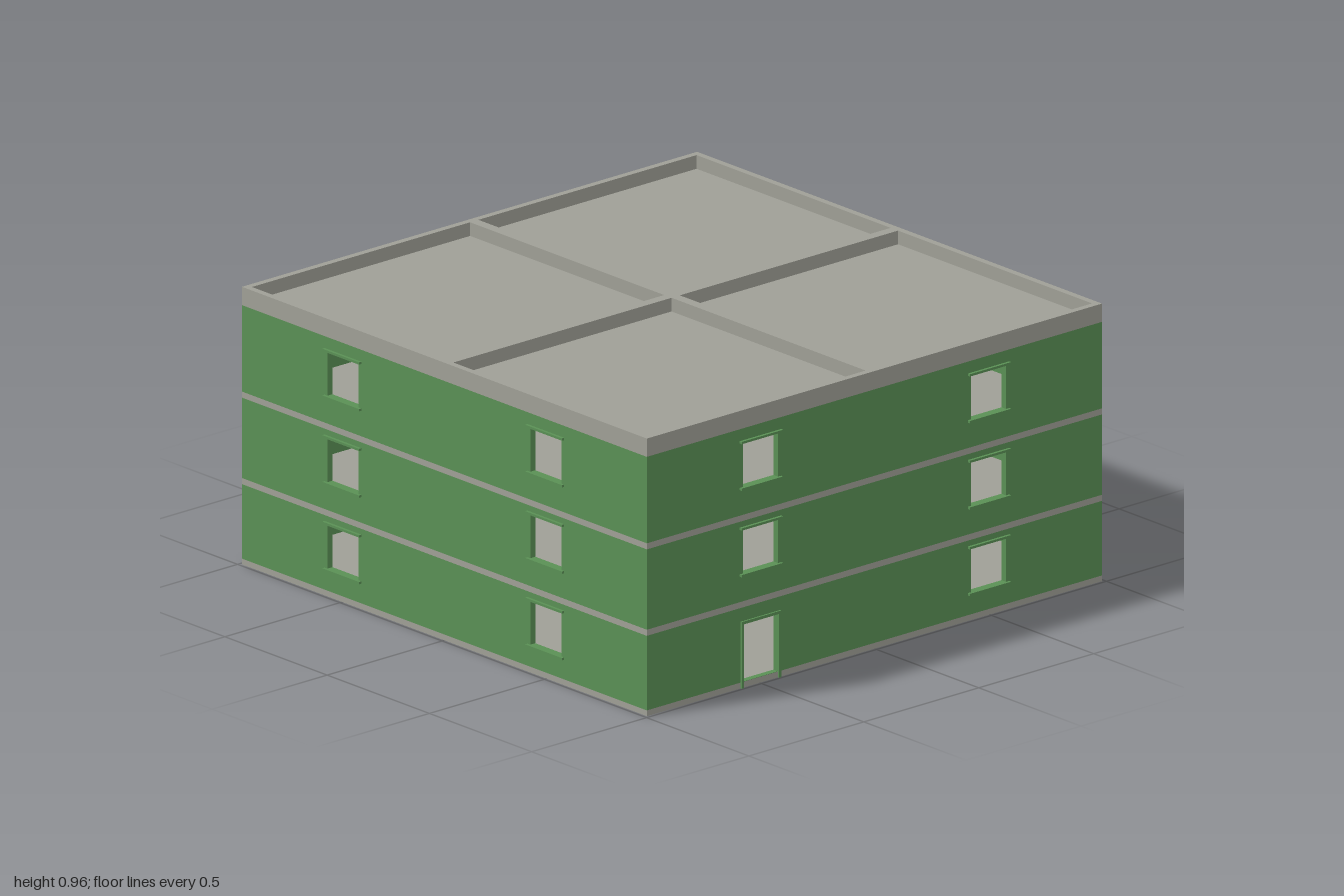
import * as THREE from 'three';

const green = new THREE.MeshStandardMaterial({ color: 0x5a9055 });
const darkGreen = new THREE.MeshStandardMaterial({ color: 0x467346 });
const stone = new THREE.MeshStandardMaterial({ color: 0x9f9f96 });

const HALF = 0.99;       // half width of the square plan
const T = 0.022;         // wall thickness
const STOREY = 0.298;    // floor to floor height
const SLAB = 0.021;
const WIN = { x: 0.496, w: 0.152, y: 0.096, h: 0.153 };
const DOOR_TOP = 0.22;

function rect(Type, x0, y0, x1, y1) {
  const p = new Type();
  p.moveTo(x0, y0).lineTo(x1, y0).lineTo(x1, y1).lineTo(x0, y1).closePath();
  return p;
}

function box(parent, name, mat, x0, x1, y0, y1, z0, z1) {
  const m = new THREE.Mesh(new THREE.BoxGeometry(x1 - x0, y1 - y0, z1 - z0), mat);
  m.position.set((x0 + x1) / 2, (y0 + y1) / 2, (z0 + z1) / 2);
  m.name = name;
  parent.add(m);
}

// Horizontal plate with square holes given as [x0, z0, x1, z1]
function plate(parent, name, y0, y1, holes = []) {
  const s = rect(THREE.Shape, -HALF, -HALF, HALF, HALF);
  holes.forEach(([x0, z0, x1, z1]) => s.holes.push(rect(THREE.Path, x0, -z1, x1, -z0)));
  const g = new THREE.ExtrudeGeometry(s, { depth: y1 - y0, bevelEnabled: false });
  g.rotateX(-Math.PI / 2).translate(0, y0, 0);
  const m = new THREE.Mesh(g, stone);
  m.name = name;
  parent.add(m);
}

// One storey of one facade, facing +z, with its openings and trim
function facade(name, y0, y1, base, halfWidth, hasDoor) {
  const side = new THREE.Group();
  side.name = name;
  const s = rect(THREE.Shape, -halfWidth, y0, halfWidth, y1);
  for (const sx of [-1, 1]) {
    const cx = sx * WIN.x, x0 = cx - WIN.w / 2, x1 = cx + WIN.w / 2;
    if (hasDoor && sx < 0) {
      // Doorway cut down to the floor slab
      s.holes.push(rect(THREE.Path, x0, y0 + 0.001, x1, DOOR_TOP));
      box(side, 'doorLintel', green, x0 - 0.01, x1 + 0.01, DOOR_TOP, DOOR_TOP + 0.01, HALF - 0.002, 0.996);
      for (const [a, b] of [[x0 - 0.01, x0], [x1, x1 + 0.01]])
        box(side, 'doorJamb', green, a, b, 0, DOOR_TOP, HALF - 0.002, 0.996);
      continue;
    }
    const b = base + WIN.y, t = b + WIN.h;
    s.holes.push(rect(THREE.Path, x0, b, x1, t));
    box(side, 'windowSill', green, x0 - 0.014, x1 + 0.014, b - 0.008, b, HALF - T, 1);
    box(side, 'windowLintel', green, x0 - 0.014, x1 + 0.014, t, t + 0.008, HALF - T, 1);
  }
  const g = new THREE.ExtrudeGeometry(s, { depth: T, bevelEnabled: false });
  g.translate(0, 0, HALF - T);
  const wall = new THREE.Mesh(g, green);
  wall.name = 'wall';
  side.add(wall);
  return side;
}

export function createModel() {
  const model = new THREE.Group();
  model.name = 'building';
  const stairHole = [-0.94, 0.65, -0.6, 0.94];

  // Floor slabs; a stairwell passes through the first upper one
  plate(model, 'groundSlab', 0, 0.02);
  plate(model, 'firstFloorSlab', STOREY - SLAB, STOREY, [stairHole]);
  plate(model, 'secondFloorSlab', 2 * STOREY - SLAB, 2 * STOREY);

  // Walls of three storeys
  const names = ['frontWall', 'leftWall', 'backWall', 'rightWall'];
  for (let k = 0; k < 3; k++) {
    const base = k * STOREY;
    const y0 = k === 0 ? 0.02 : base;
    const y1 = k === 2 ? 3 * STOREY : base + STOREY - SLAB;
    names.forEach((name, i) => {
      const halfWidth = i % 2 ? HALF - T : HALF;
      const side = facade(name, y0, y1, base, halfWidth, k === 0 && i === 0);
      side.rotation.y = i * Math.PI / 2;
      model.add(side);
    });
  }

  // Central partition on the ground floor
  box(model, 'partition', darkGreen, -0.018, 0.018, 0.02, STOREY - SLAB, -0.495, 0.495);

  // Corner stair
  const steps = 8, run = 0.34 / steps, rise = (STOREY - 0.02) / steps;
  for (let i = 0; i < steps; i++) {
    const x1 = -0.6 - i * run;
    box(model, 'stairStep', stone, x1 - run, x1, 0.02, 0.02 + (i + 1) * rise, 0.66, 0.93);
  }

  // Roof with a parapet grid around four bays
  plate(model, 'roofSlab', 3 * STOREY, 0.91);
  const a = 0.018, b = 0.967;
  const bays = [];
  for (const [x0, x1] of [[-b, -a], [a, b]])
    for (const [z0, z1] of [[-b, -a], [a, b]]) bays.push([x0, z0, x1, z1]);
  plate(model, 'parapet', 0.91, 0.957, bays);

  return model;
}
